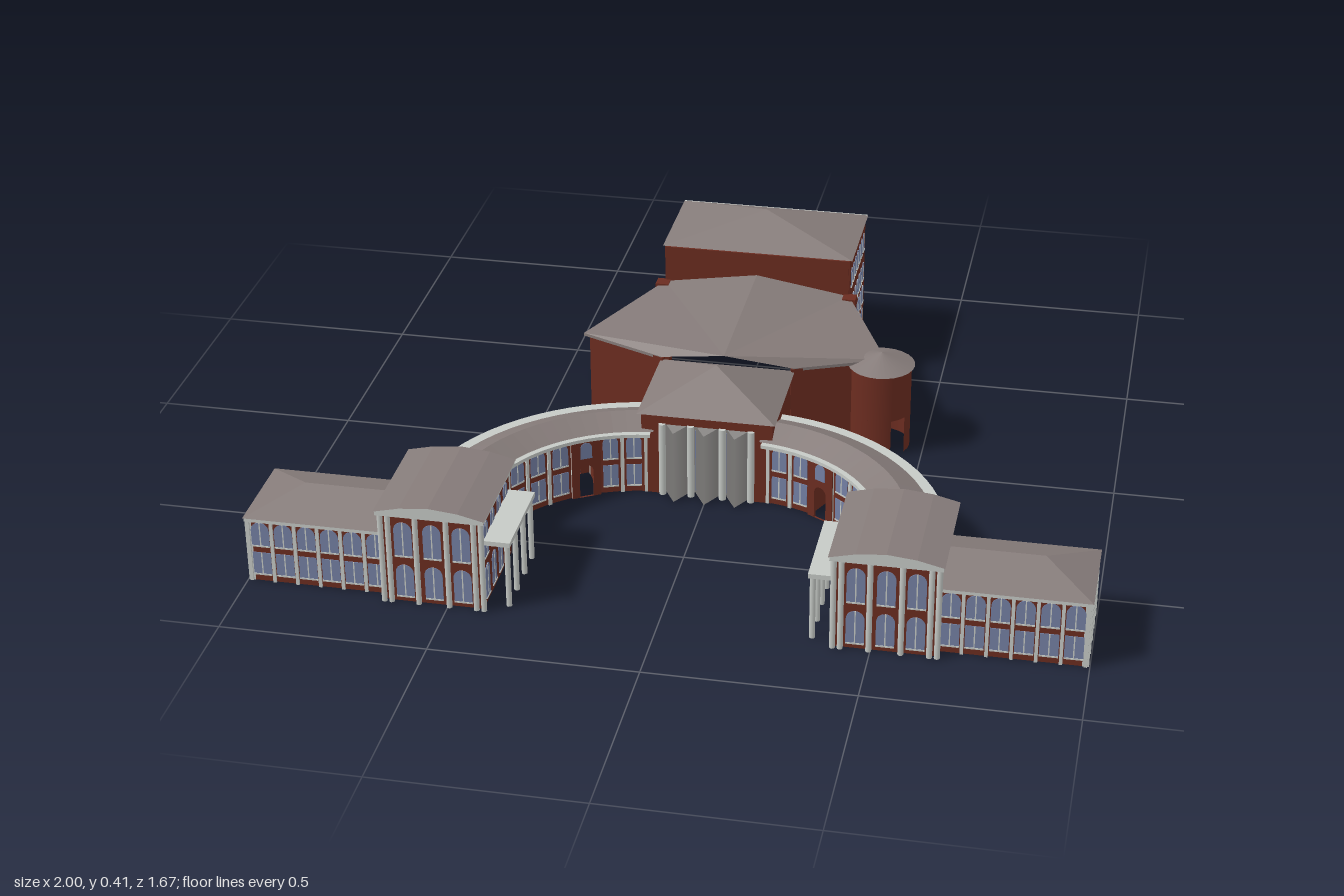
import * as THREE from 'three';

const mat = (name, color, side = THREE.FrontSide) => {
  const m = new THREE.MeshStandardMaterial({ color, side });
  m.name = name;
  return m;
};

export function createModel() {
  const root = new THREE.Group();
  root.name = 'campusBuilding';
  const brick = mat('brick', 0x6b2c20);
  const roofGrey = mat('roofGrey', 0x857b79, THREE.DoubleSide);
  const glass = mat('glass', 0x7480a4);
  const trim = mat('paleTrim', 0xc6cac6);
  const stone = mat('stoneGrey', 0x8a8886);

  const add = (parent, name, geo, m, x = 0, y = 0, z = 0) => {
    const mesh = new THREE.Mesh(geo, m);
    mesh.name = name;
    mesh.position.set(x, y, z);
    parent.add(mesh);
    return mesh;
  };
  // Box given by its limits
  const box = (parent, name, m, x1, x2, y1, y2, z1, z2) => add(parent, name,
    new THREE.BoxGeometry(Math.abs(x2 - x1), y2 - y1, Math.abs(z2 - z1)), m, (x1 + x2) / 2, (y1 + y2) / 2, (z1 + z2) / 2);
  const group = (name, parent = root) => {
    const g = new THREE.Group();
    g.name = name;
    parent.add(g);
    return g;
  };
  const column = (parent, x, z, h, r = 0.007) =>
    add(parent, 'column', new THREE.CylinderGeometry(r, r, h, 8), trim, x, h / 2, z);

  // Flat facets from corner lists
  const facets = (parent, name, m, faces) => {
    const p = [];
    for (const f of faces) for (let i = 1; i < f.length - 1; i++) p.push(...f[0], ...f[i], ...f[i + 1]);
    const geo = new THREE.BufferGeometry();
    geo.setAttribute('position', new THREE.Float32BufferAttribute(p, 3));
    geo.computeVertexNormals();
    return add(parent, name, geo, m);
  };
  // Hip roof over a rectangle, ridge from (rx1, rz1) to (rx2, rz2)
  const hipRoof = (parent, x1, x2, z1, z2, y, top, rx1, rx2, rz) => {
    const a = [x1, y, z2], b = [x2, y, z2], c = [x2, y, z1], d = [x1, y, z1];
    const r = [rx1, top, rz], q = [rx2, top, rz];
    facets(parent, 'hipRoof', roofGrey, [[a, b, q, r], [b, c, q], [c, d, r, q], [d, a, r]]);
  };

  // Plate with an optional round head, standing on y = 0
  const archShape = (w, h, arched) => {
    const s = new THREE.Shape();
    s.moveTo(-w / 2, 0);
    s.lineTo(w / 2, 0);
    if (arched) s.absarc(0, h - w / 2, w / 2, 0, Math.PI, false);
    else { s.lineTo(w / 2, h); s.lineTo(-w / 2, h); }
    return s;
  };
  const plate = (w, h, arched, depth = 0.0095) =>
    new THREE.ExtrudeGeometry(archShape(w, h, arched), { depth, bevelEnabled: false, curveSegments: 6 }).translate(0, 0, -depth / 2);

  const twoRows = [[0.02, 0.058, false], [0.098, 0.062, true]];
  // Thin wall between two plan points with rows of windows and pilasters
  const facade = (parent, name, [x1, z1], [x2, z2], h, { cols = 0, rows = twoRows, y0 = 0, fill = 0.7, pilasters = false, ends = 0 } = {}) => {
    const g = group(name, parent), len = Math.hypot(x2 - x1, z2 - z1);
    g.position.set(x1, 0, z1);
    g.rotation.y = Math.atan2(z1 - z2, x2 - x1);
    box(g, 'wall', brick, 0, len, y0, h, -0.003, 0.003);
    const bay = (len - 2 * ends) / Math.max(cols, 1), w = bay * fill;
    for (let i = 0; i < cols; i++) {
      const cx = ends + bay * (i + 0.5);
      for (const [y, wh, arched] of rows) {
        add(g, 'window', plate(w, wh, arched), glass, cx, y, 0);
        box(g, 'mullion', trim, cx - 0.0015, cx + 0.0015, y, y + wh, -0.0055, 0.0055);
        box(g, 'sill', trim, cx - w / 2, cx + w / 2, y - 0.004, y, -0.006, 0.006);
      }
    }
    if (pilasters) for (let i = 0; i <= cols; i++) {
      const cx = ends + bay * i;
      box(g, 'pilaster', trim, cx - 0.004, cx + 0.004, 0, h, -0.008, 0.008);
    }
    return g;
  };

  // Rear tower, open at the back
  const tower = group('rearTower');
  const towerRows = [0.03, 0.1, 0.17, 0.258].map((y) => [y, 0.05, true]);
  for (const s of [-1, 1]) {
    facade(tower, 'towerSideWall', [s * 0.247, -0.775], [s * 0.247, -0.493], 0.342,
      { cols: 7, rows: towerRows, fill: 0.66, ends: 0.015 });
    box(tower, 'cornerPier', brick, s * 0.235, s * 0.27, 0, 0.245, -0.495, -0.46);
  }
  facade(tower, 'towerFrontWall', [-0.247, -0.493], [0.247, -0.493], 0.342, { y0: 0.23 });
  box(tower, 'eaveBand', trim, -0.254, 0.254, 0.341, 0.345, -0.784, -0.78);
  hipRoof(tower, -0.256, 0.256, -0.785, -0.493, 0.343, 0.406, 0, 0, -0.638);

  // Small stair block at the back
  const stair = group('rearStairBlock');
  box(stair, 'stairWalls', brick, -0.085, 0.085, 0, 0.237, -0.83, -0.775);
  add(stair, 'rearDoor', plate(0.05, 0.12, true, 0.008), stone, 0, 0, -0.83);
  hipRoof(stair, -0.091, 0.091, -0.838, -0.768, 0.236, 0.272, -0.02, 0.02, -0.785);

  // Fan-shaped hall
  const hall = group('hall');
  for (const s of [-1, 1]) {
    const front = [s * 0.165, -0.06], corner = [s * 0.378, -0.157], back = [s * 0.24, -0.485];
    facade(hall, 'hallFrontWall', front, corner, 0.238);
    const side = facade(hall, 'hallSideWall', corner, back, 0.238);
    add(side, 'sideDoor', plate(0.05, 0.12, true), stone, 0.195, 0, 0);
    box(side, 'sideStep', trim, 0.155, 0.235, 0, 0.015, 0, s * 0.11);
    box(side, 'upperStep', stone, 0.17, 0.22, 0.015, 0.024, 0, s * 0.055);
    const f = [0, 0.28, -0.02], b = [0, 0.28, -0.493];
    const e1 = [s * 0.17, 0.24, -0.06], e2 = [s * 0.395, 0.24, -0.153], e3 = [s * 0.25, 0.24, -0.49];
    facets(hall, 'hallRoof', roofGrey, [[f, e2, e3, b], [f, e1, e2]]);
    const low = (p) => [p[0], 0.232, p[2]];
    facets(hall, 'hallFascia', roofGrey, [[e1, e2, low(e2), low(e1)], [e2, e3, low(e3), low(e2)]]);
  }

  // Round turret with a doorway towards the outer front corner
  const turret = group('turret');
  turret.position.set(0.385, 0, -0.15);
  const brickShell = mat('brickShell', 0x6b2c20, THREE.DoubleSide);
  add(turret, 'turretUpperWall', new THREE.CylinderGeometry(0.078, 0.078, 0.13, 24, 1, true), brickShell, 0, 0.165, 0);
  add(turret, 'turretLowerWall', new THREE.CylinderGeometry(0.078, 0.078, 0.1, 22, 1, true, 1.05, Math.PI * 2 - 0.55), brickShell, 0, 0.05, 0);
  add(turret, 'turretRoof', new THREE.ConeGeometry(0.086, 0.032, 24, 1, true), roofGrey, 0, 0.246, 0);

  // Entrance block with pointed bays between columns
  const entrance = group('entranceBlock');
  for (const s of [-1, 1]) {
    facade(entrance, 'entranceSideWall', [s * 0.162, 0.207], [s * 0.162, -0.06], 0.228);
    box(entrance, 'entrancePier', brick, s * 0.115, s * 0.165, 0, 0.228, 0.18, 0.21);
    for (const x of [0.04, 0.112]) column(entrance, s * x, 0.212, 0.2, 0.009);
  }
  box(entrance, 'entranceLintel', brick, -0.115, 0.115, 0.198, 0.228, 0.18, 0.21);
  box(entrance, 'entranceGlazing', stone, -0.115, 0.115, 0, 0.198, 0.187, 0.194);
  for (const x of [-0.077, 0, 0.077]) {
    add(entrance, 'pointedBay', new THREE.CylinderGeometry(0.034, 0.034, 0.195, 3).toNonIndexed(), stone, x, 0.0975, 0.215);
    for (const s of [-1, 1]) box(entrance, 'entranceWindow', glass, x + s * 0.024, x + s * 0.031, 0.01, 0.18, 0.193, 0.199);
  }
  hipRoof(entrance, -0.174, 0.174, -0.07, 0.224, 0.228, 0.306, 0, 0, 0.08);

  // Both symmetrical arms: curved gallery, pavilion, end wing and porch
  for (const s of [-1, 1]) {
    const arm = group(s > 0 ? 'leftArm' : 'rightArm');
    const rad = Math.PI / 180, cx = 0.1, cz = 0.6;
    const at = (r, deg) => [s * (cx + r * Math.sin(deg * rad)), cz - r * Math.cos(deg * rad)];
    const ring = (name, m, a, b, profile) => {
      const start = s > 0 ? Math.PI - b * rad : Math.PI + a * rad;
      const geo = new THREE.LatheGeometry(profile.map(([r, y]) => new THREE.Vector2(r, y)), 16, start, (b - a) * rad).toNonIndexed();
      geo.computeVertexNormals();
      add(arm, name, geo, m, s * cx, 0, cz);
    };

    // Curved gallery
    const bays = [[8, 16.5], [16.5, 25], [35, 44.4], [44.4, 53.8], [53.8, 63.2], [63.2, 72.6], [72.6, 82]];
    for (const [a, b] of bays) {
      facade(arm, 'galleryOuterWall', at(0.5, a), at(0.5, b), 0.17, { cols: 2, fill: 0.75, pilasters: true });
      facade(arm, 'galleryInnerWall', at(0.4, a), at(0.4, b), 0.17, { cols: 1, fill: 0.65, pilasters: true });
    }
    for (const r of [0.393, 0.508]) {
      const [x1, z1] = at(r, 24.5), [x2, z2] = at(r, 35.5), len = Math.hypot(x2 - x1, z2 - z1);
      const shape = archShape(len, 0.17, false);
      const gap = archShape(0.036, 0.09, true);
      shape.holes.push(gap);
      const gate = add(arm, 'archGate', new THREE.ExtrudeGeometry(shape, { depth: 0.006, bevelEnabled: false, curveSegments: 8 }).translate(0, 0, -0.003),
        brick, (x1 + x2) / 2, 0, (z1 + z2) / 2);
      gate.rotation.y = Math.atan2(z1 - z2, x2 - x1);
      add(gate, 'gateWindow', plate(0.03, 0.045, true, 0.009), glass, 0, 0.11, 0);
    }
    for (const d of [25, 35]) facade(arm, 'passageWall', at(0.4, d), at(0.5, d), 0.165);
    const trimShell = arm.userData.shell = trim;
    ring('outerCornice', trimShell, 6, 82, [[0.49, 0.166], [0.54, 0.166], [0.54, 0.175], [0.49, 0.175], [0.49, 0.166]]);
    ring('innerCornice', trimShell, 6, 82, [[0.372, 0.166], [0.41, 0.166], [0.41, 0.175], [0.372, 0.175], [0.372, 0.166]].map(([r, y]) => [r, y]));
    ring('galleryRoof', roofGrey, 5, 83, [[0.385, 0.176], [0.448, 0.203], [0.512, 0.176]]);

    // Tall pavilion
    const rows = [[0.015, 0.085, true], [0.125, 0.09, true]];
    const P = (x, z) => [s * x, z];
    facade(arm, 'pavilionFront', P(0.418, 0.808), P(0.648, 0.808), 0.242, { cols: 3, rows, fill: 0.62, ends: 0.01 });
    facade(arm, 'pavilionBack', P(0.418, 0.552), P(0.648, 0.552), 0.242, { cols: 3, rows: [rows[1]], fill: 0.5, ends: 0.01 });
    for (const x of [0.418, 0.648])
      facade(arm, 'pavilionSide', P(x, 0.552), P(x, 0.808), 0.242, { cols: 4, rows, fill: 0.6, ends: 0.01 });
    for (const x of [0.412, 0.43, 0.496, 0.57, 0.636, 0.654]) column(arm, s * x, 0.818, 0.242);
    box(arm, 'pavilionCornice', trim, s * 0.403, s * 0.663, 0.238, 0.249, 0.538, 0.828);
    const gable = new THREE.Shape([[-0.133, 0], [0.133, 0], [0.07, 0.015], [0, 0.022], [-0.07, 0.015]].map(([x, y]) => new THREE.Vector2(x, y)));
    add(arm, 'pavilionRoof', new THREE.ExtrudeGeometry(gable, { depth: 0.296, bevelEnabled: false }), [trim, roofGrey], s * 0.533, 0.249, 0.535);

    // Low end wing
    const opt = { fill: 0.78, pilasters: true };
    for (const z of [0.57, 0.785]) facade(arm, 'wingLongWall', P(0.65, z), P(0.99, z), 0.172, { cols: 6, ...opt });
    facade(arm, 'wingEndWall', P(0.99, 0.57), P(0.99, 0.785), 0.172, { cols: 4, ...opt });
    for (const z of [0.565, 0.79]) box(arm, 'wingCornice', trim, s * 0.655, s * 0.997, 0.164, 0.173, z - 0.006, z + 0.006);
    box(arm, 'wingEndCornice', trim, s * 0.983, s * 0.997, 0.164, 0.173, 0.56, 0.795);
    const inner = s * 0.65, outer = s * 0.88;
    if (s > 0) hipRoof(arm, 0.65, 1, 0.558, 0.797, 0.173, 0.215, inner, outer, 0.677);
    else hipRoof(arm, -1, -0.65, 0.558, 0.797, 0.173, 0.215, outer, inner, 0.677);

    // Side porch
    box(arm, 'porchCanopy', trim, s * 0.35, s * 0.418, 0.166, 0.178, 0.558, 0.797);
    for (const z of [0.57, 0.64, 0.713, 0.785]) column(arm, s * 0.36, z, 0.166);
  }
  return root;
}
